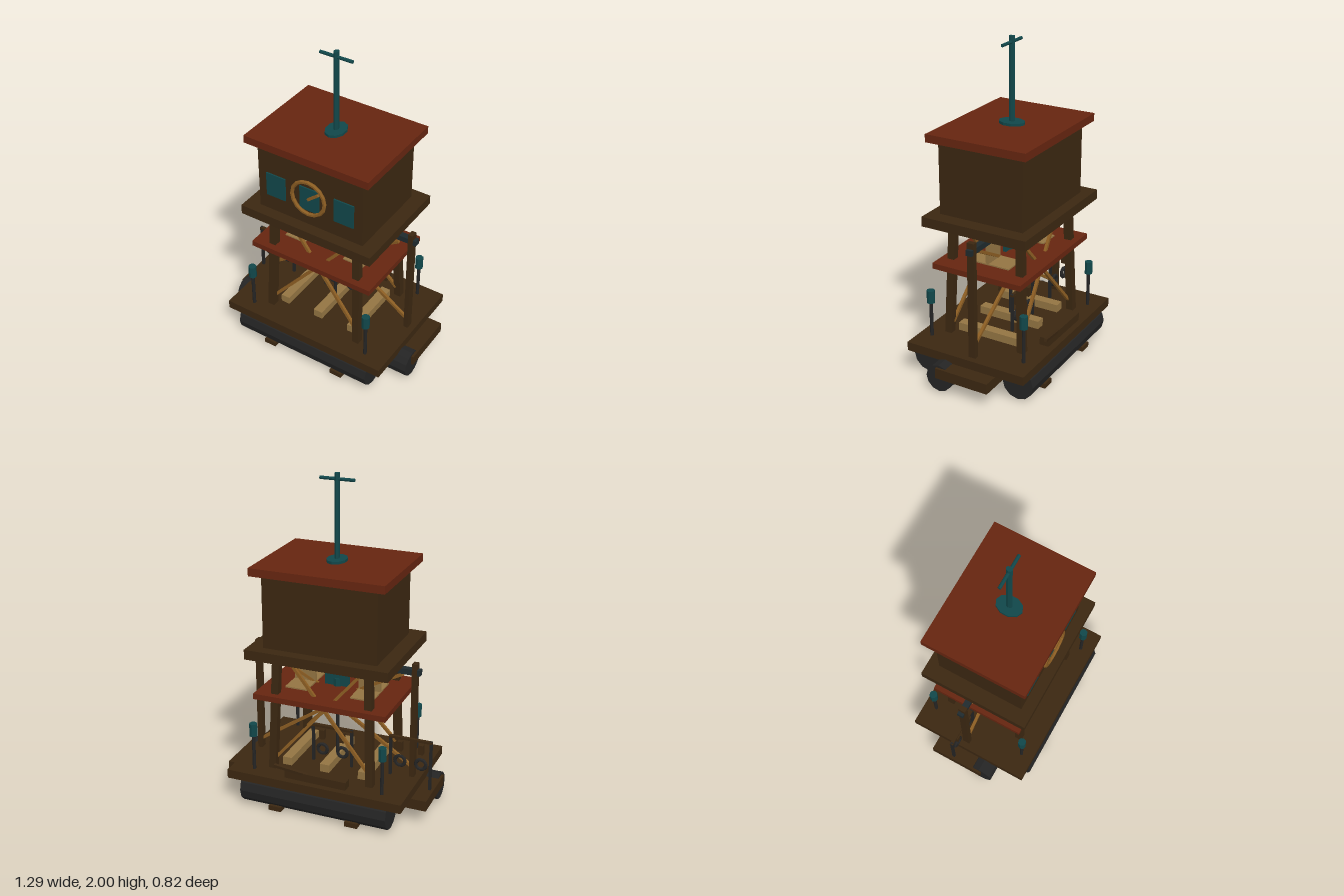
import * as THREE from 'three';

const mat = (name, color, side = THREE.FrontSide) => {
  const m = new THREE.MeshStandardMaterial({ color, flatShading: true, side });
  m.name = name;
  return m;
};

export function createModel() {
  const root = new THREE.Group();
  root.name = 'floatingWatchtower';
  const wood = mat('dark wood', 0x3b2711);
  const red = mat('rust red', 0x662510);
  const teal = mat('teal', 0x11474a);
  const brass = mat('brass', 0x8a5c22);
  const pale = mat('pale wood', 0x937442);
  const black = mat('black', 0x242424);
  const steel = mat('slate steel', 0x1f2a2d);

  const add = (name, geo, m, x = 0, y = 0, z = 0, parent = root) => {
    const mesh = new THREE.Mesh(geo, m);
    mesh.name = name;
    mesh.position.set(x, y, z);
    parent.add(mesh);
    return mesh;
  };
  // Box given by its min and max on each axis
  const box = (name, m, x0, x1, y0, y1, z0, z1, parent = root) =>
    add(name, new THREE.BoxGeometry(x1 - x0, y1 - y0, z1 - z0), m,
      (x0 + x1) / 2, (y0 + y1) / 2, (z0 + z1) / 2, parent);
  // Upright cylinder from y0 to y1
  const post = (name, m, x, z, r, y0, y1, n = 8, parent = root) =>
    add(name, new THREE.CylinderGeometry(r, r, y1 - y0, n), m, x, (y0 + y1) / 2, z, parent);
  // Straight bar between two points
  const bar = (name, m, a, b, w, d = w) => {
    const p = new THREE.Vector3(...a), q = new THREE.Vector3(...b);
    const dir = q.clone().sub(p);
    const mesh = add(name, new THREE.BoxGeometry(w, dir.length(), d), m);
    mesh.position.copy(p).add(q).multiplyScalar(0.5);
    mesh.quaternion.setFromUnitVectors(new THREE.Vector3(0, 1, 0), dir.normalize());
    return mesh;
  };
  const float = (name, r, x0, x1, y, z) => {
    const geo = new THREE.CylinderGeometry(r, r, x1 - x0, 12).rotateZ(Math.PI / 2);
    return add(name, geo, black, (x0 + x1) / 2, y, z);
  };
  const ring = (name, m, r, t, x, y, z, parent = root) =>
    add(name, new THREE.TorusGeometry(r, t, 6, 16), m, x, y, z, parent);

  // Floats and underside
  for (const s of [-1, 1]) {
    float('longFloat', 0.1, -0.465, 0.465, 0.104, s * 0.308);
    const [a, b] = s > 0 ? [0.3, 0.63] : [-0.63, -0.3];
    float('endFloat', 0.085, a, b, 0.095, 0.125);
    for (const x of [-0.245, 0.245]) {
      box('skidEnd', wood, x - 0.04, x + 0.04, 0, 0.03, s > 0 ? 0.32 : -0.39, s > 0 ? 0.39 : -0.32);
      box('skidBlock', wood, x - 0.04, x + 0.04, 0.05, 0.08, s > 0 ? 0.08 : -0.22, s > 0 ? 0.22 : -0.08);
    }
  }
  add('centreFloat', new THREE.CylinderGeometry(0.23, 0.2, 0.15, 20), black, 0, 0.085, 0);

  // Decks
  box('sideLanding', wood, -0.645, 0.645, 0.1, 0.165, -0.21, 0.14);
  box('deck', wood, -0.553, 0.553, 0.165, 0.22, -0.395, 0.395);
  for (const x of [-0.245, 0, 0.245])
    box('deckSleeper', pale, x - 0.03, x + 0.03, 0.22, 0.27, -0.2, 0.21);

  // Corner lamps
  for (const x of [-0.41, 0.41]) for (const z of [-0.316, 0.316]) {
    post('lampPole', black, x, z, 0.011, 0.22, 0.45);
    post('lampHead', teal, x, z, 0.025, 0.44, 0.52);
  }

  // Tower legs and braces
  for (const x of [-1, 1]) for (const z of [-1, 1]) {
    bar('leg', wood, [x * 0.312, 0.21, z * 0.25], [x * 0.286, 0.96, z * 0.222], 0.045);
    bar('legBrace', brass, [x * 0.31, 0.27, z * 0.235], [x * -0.22, 0.88, z * 0.175], 0.018);
  }
  for (const s of [-1, 1]) {
    box('sidePost', wood, s * 0.5 - 0.015, s * 0.5 + 0.015, 0.22, 0.945, -0.055, -0.01);
    bar('postBrace', brass, [s * 0.49, 0.28, -0.03], [s * -0.08, 0.66, -0.03], 0.018);
    bar('crossBrace', brass, [s * 0.42, 0.86, -0.02], [s * -0.16, 0.54, 0.03], 0.018);
  }
  box('crossBeam', steel, -0.535, 0.535, 0.875, 0.91, -0.053, -0.015);
  box('beamClamp', teal, -0.045, 0.045, 0.873, 0.912, -0.112, 0.055);
  post('clampHub', teal, 0, -0.03, 0.03, 0.85, 0.94);

  // Middle shelf with gauges
  box('shelf', red, -0.415, 0.415, 0.67, 0.705, -0.295, 0.295);
  for (const x of [-0.208, 0.208]) {
    box('shelfBoard', pale, x - 0.07, x + 0.07, 0.705, 0.713, -0.14, 0.14);
    box('gaugePanel', pale, x - 0.068, x + 0.068, 0.71, 0.85, -0.005, 0.015);
    ring('gaugeRing', brass, 0.042, 0.009, x, 0.775, 0.02);
  }
  box('centreGaugePanel', teal, -0.078, 0.078, 0.71, 0.85, -0.005, 0.015);
  ring('centreGaugeRing', brass, 0.042, 0.009, 0, 0.775, 0.02);
  bar('centreGaugeHand', brass, [0, 0.775, 0.022], [0.025, 0.8, 0.022], 0.008);
  post('pipe', black, 0, 0.01, 0.011, 0.22, 0.66);
  post('pipeValve', teal, 0, 0.015, 0.03, 0.64, 0.755);

  // Tool racks with hanging rings and tags
  for (const [x, z, y0, y1] of [[-0.495, -0.065, 0.165, 0.48], [0, -0.075, 0.22, 0.465]]) {
    const rack = new THREE.Group();
    rack.name = 'toolRack';
    root.add(rack);
    for (const s of [-1, 1]) {
      const h = x + s * 0.065;
      box('rackPost', black, x + s * 0.125 - 0.008, x + s * 0.125 + 0.008, y0, y1, z - 0.008, z + 0.008, rack);
      ring('rackRing', black, 0.031, 0.011, h, y1 - 0.16, z, rack);
      box('rackTag', wood, h - 0.015, h + 0.015, y1 - 0.09, y1 - 0.03, z - 0.015, z + 0.015, rack);
    }
    box('rackBar', wood, x - 0.133, x + 0.133, y1 - 0.014, y1, z - 0.01, z + 0.01, rack);
  }

  // Planks resting along the back of the deck
  bar('plank', wood, [-0.2, 0.245, -0.33], [0.19, 0.25, -0.33], 0.05, 0.06);
  bar('looseOar', wood, [-0.03, 0.25, -0.34], [0.25, 0.3, -0.37], 0.018);

  // Cabin
  box('cabinFloor', wood, -0.442, 0.442, 0.938, 0.998, -0.342, 0.342);
  box('cabin', wood, -0.352, 0.352, 0.998, 1.445, -0.273, 0.273);
  box('roof', red, -0.41, 0.41, 1.442, 1.49, -0.322, 0.322);
  for (const x of [-0.23, 0, 0.23])
    box('window', teal, x - 0.065, x + 0.065, 1.102, 1.255, 0.273, 0.282);
  ring('dialRing', brass, 0.11, 0.012, 0, 1.195, 0.29);
  bar('dialHand', brass, [0, 1.19, 0.292], [0.07, 1.247, 0.292], 0.015);

  // Roof mast, deeper than it is wide
  const base = post('mastBase', teal, 0, 0, 0.06, 1.49, 1.506, 10);
  base.scale.z = 1.36;
  const mast = post('mast', teal, 0, 0, 0.0145, 1.5, 2.0);
  mast.scale.z = 1.36;
  add('mastArm', new THREE.CylinderGeometry(0.01, 0.01, 0.21, 8).rotateZ(Math.PI / 2), teal, 0, 1.965, 0);

  return root;
}
